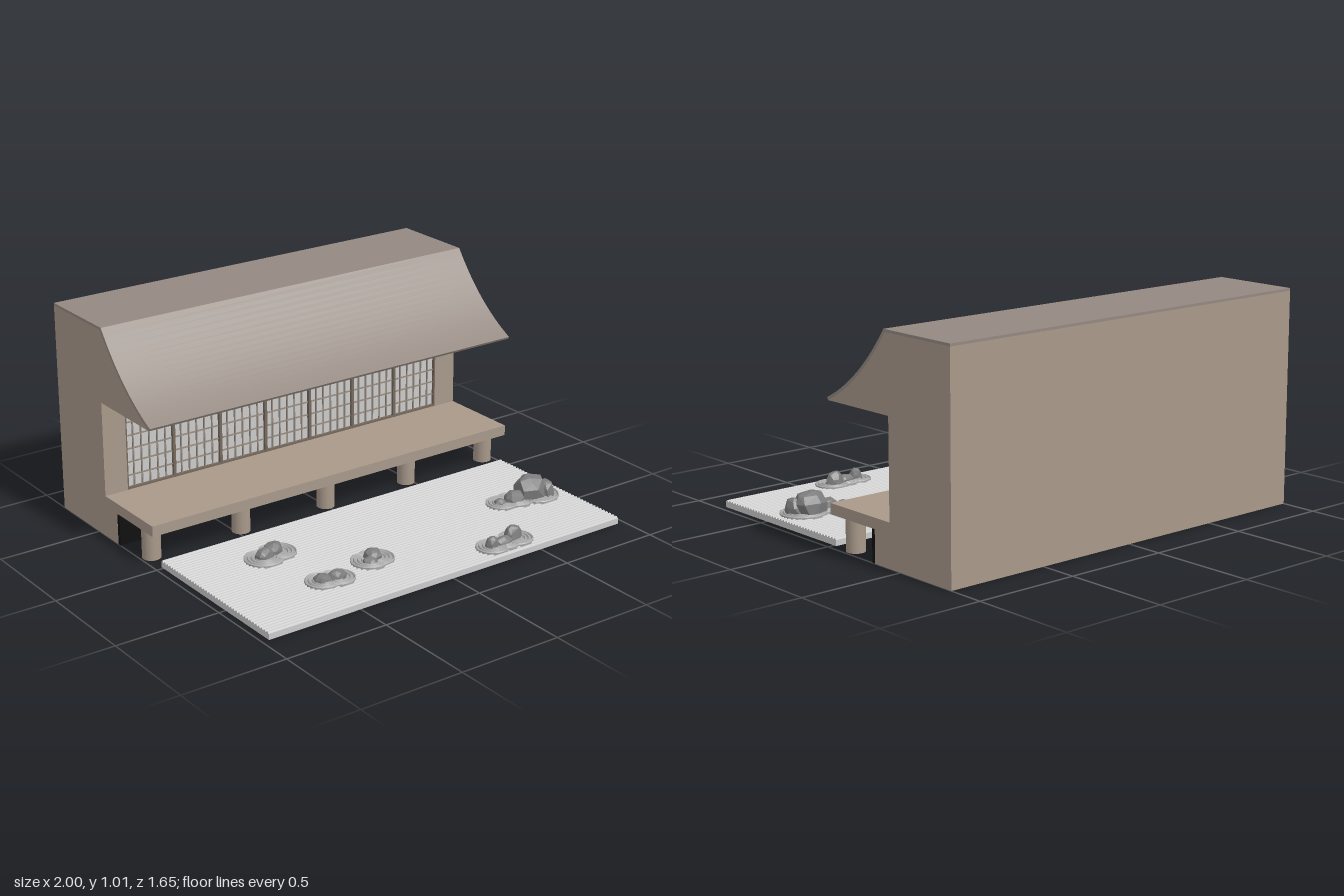
import * as THREE from 'three';
import { mergeGeometries, toCreasedNormals } from 'three/addons/utils/BufferGeometryUtils.js';
import { ConvexGeometry } from 'three/addons/geometries/ConvexGeometry.js';

const mat = (color, extra = {}) => {
  const m = new THREE.MeshStandardMaterial({ color });
  return Object.assign(m, extra);
};
const wood = mat(0xa8998a), roofMat = mat(0x948981), darkWood = mat(0x75695d);
const lattice = mat(0x978b7f), paper = mat(0xcccccc), shadow = mat(0x101010);
const sand = mat(0xcccccc), sandRings = mat(0xaaaaaa, { flatShading: true });
const stone = mat(0x7c7c7c, { flatShading: true });

// small seeded number generator
function seeded(seed) {
  return () => (seed = (seed * 16807) % 2147483647) / 2147483647;
}

function add(parent, name, geometry, material) {
  const mesh = new THREE.Mesh(geometry, material);
  mesh.name = name;
  parent.add(mesh);
  return mesh;
}

const box = (w, h, d, x, y, z) => new THREE.BoxGeometry(w, h, d).translate(x, y, z);

// extrudes a (z, y) side profile along x, centred
function alongX(points, length) {
  const shape = new THREE.Shape(points.map(([z, y]) => new THREE.Vector2(z, y)));
  const g = new THREE.ExtrudeGeometry(shape, { depth: length, bevelEnabled: false });
  return toCreasedNormals(g.translate(0, 0, -length / 2).rotateY(-Math.PI / 2), 0.4);
}

function buildHouse() {
  const house = new THREE.Group();
  house.name = 'house';

  // sweeping roof line from the eave up to the flat top
  const sweep = new THREE.QuadraticBezierCurve(
    new THREE.Vector2(-0.015, 0.66), new THREE.Vector2(-0.24, 0.77), new THREE.Vector2(-0.405, 1.007)
  ).getPoints(18).map(p => [p.x, p.y]);
  const under = sweep.map(([z, y]) => [z - 0.008, y - 0.012]);

  // body with eave, recessed front wall and deck in one section
  add(house, 'body', alongX([
    [-0.825, 0], [-0.33, 0], [-0.33, 0.15], [-0.025, 0.15], [-0.025, 0.2], [-0.45, 0.2],
    [-0.45, 0.65], ...under, [-0.825, 0.995]
  ], 2), wood);
  add(house, 'roof', alongX([...sweep, [-0.825, 1.007], [-0.825, 0.995], ...under.reverse()], 2), roofMat);

  for (const s of [-1, 1]) {
    add(house, 'endWall', box(0.117, 0.45, 0.02, s * 0.9415, 0.425, -0.44), wood);
  }
  add(house, 'underfloorPanel', box(1.999, 0.15, 0.02, 0, 0.075, -0.321), shadow);

  // deck posts
  for (let i = -2; i <= 2; i++) {
    add(house, 'deckPost', new THREE.CylinderGeometry(0.043, 0.043, 0.15, 24)
      .translate(i * 0.4735, 0.075, -0.13), wood);
  }

  // seven paper screens with lattice
  const n = 7, w = 1.766 / n;
  add(house, 'screenPaper', box(1.766, 0.45, 0.006, 0, 0.425, -0.448), paper);
  const frames = [], bars = [];
  for (let i = 0; i <= n; i++) frames.push(box(0.014, 0.45, 0.018, -0.883 + i * w, 0.425, -0.44));
  frames.push(box(1.766, 0.01, 0.016, 0, 0.205, -0.44), box(1.766, 0.012, 0.016, 0, 0.644, -0.44));
  for (let i = 0; i < n; i++) {
    for (let c = 1; c <= 5; c++) {
      bars.push(box(0.006, 0.44, 0.008, -0.883 + (i + c / 6) * w, 0.425, -0.442));
    }
  }
  for (let r = 1; r <= 6; r++) bars.push(box(1.766, 0.006, 0.006, 0, 0.2 + r * 0.45 / 7, -0.442));
  add(house, 'screenFrames', mergeGeometries(frames), darkWood);
  add(house, 'screenLattice', mergeGeometries(bars), lattice);
  return house;
}

// raked rings following the outline of two joined circles [x, z, radius]
function ringsGeometry(circles) {
  const cx = circles.reduce((s, c) => s + c[0], 0) / circles.length;
  const cz = circles.reduce((s, c) => s + c[1], 0) / circles.length;
  const reach = a => Math.max(...circles.map(([x, z, r]) => {
    const along = (x - cx) * Math.cos(a) + (z - cz) * Math.sin(a);
    const across2 = (x - cx) ** 2 + (z - cz) ** 2 - along ** 2;
    return across2 < r * r ? along + Math.sqrt(r * r - across2) : 0;
  }));
  const rows = [[0, 0.027], [0, 0.04]];
  for (let k = 0; k < 3; k++) {
    const d = k * 0.018;
    rows.push([d + 0.005, 0.043], [d + 0.01, 0.036], [d + 0.014, 0.036], [d + 0.018, 0.043]);
  }
  const seg = 64, pos = [cx, 0.037, cz], idx = [];
  rows.forEach(([inset, y], j) => {
    for (let i = 0; i < seg; i++) {
      const a = (i / seg) * Math.PI * 2, r = Math.max(reach(a) - inset, 0.01);
      pos.push(cx + Math.cos(a) * r, y, cz + Math.sin(a) * r);
      const p = 1 + j * seg + i, q = 1 + j * seg + (i + 1) % seg;
      if (j < rows.length - 1) idx.push(p, p + seg, q, q, p + seg, q + seg);
      else idx.push(p, 0, q);
    }
  });
  const g = new THREE.BufferGeometry();
  g.setAttribute('position', new THREE.Float32BufferAttribute(pos, 3));
  g.setIndex(idx);
  g.computeVertexNormals();
  return g;
}

// angular boulder: jittered rings wrapped in a hull
function rockGeometry([x, z, rx, rz, top, turn = 0], rnd) {
  const pts = [];
  for (const [level, spread] of [[0, 1], [0.55, 0.95], [0.85, 0.7], [1, 0.35]]) {
    for (let i = 0; i < 7; i++) {
      const a = ((i + rnd() * 0.7) / 7) * Math.PI * 2, k = spread * (0.85 + rnd() * 0.2);
      const h = level * (level ? 0.88 + rnd() * 0.12 : 1);
      pts.push(new THREE.Vector3(Math.cos(a) * rx * k, h * (top - 0.025), Math.sin(a) * rz * k));
    }
  }
  return new ConvexGeometry(pts).rotateY(turn).translate(x, 0.025, z);
}

function buildGarden() {
  const garden = new THREE.Group();
  garden.name = 'garden';

  // sand bed with straight raked ridges
  const section = [[0.825, 0], [0.825, 0.027]], count = 40, pitch = 0.84 / count;
  for (let i = 0; i < count; i++) {
    const z = 0.825 - i * pitch;
    section.push([z - pitch * 0.2, 0.027], [z - pitch * 0.4, 0.034],
      [z - pitch * 0.75, 0.034], [z - pitch * 0.95, 0.027]);
  }
  section.push([-0.015, 0.027], [-0.015, 0]);
  add(garden, 'sandBed', alongX(section.reverse(), 1.934), sand);

  // rings: circles [x, z, r]; rocks: [x, z, rx, rz, top, turn]
  const islands = [
    { rings: [[-0.595, 0.238, 0.09], [-0.51, 0.215, 0.088]],
      rocks: [[-0.585, 0.23, 0.055, 0.04, 0.08, 0.3], [-0.525, 0.205, 0.062, 0.045, 0.085, 0.4]] },
    { rings: [[-0.515, 0.57, 0.08], [-0.445, 0.58, 0.08]],
      rocks: [[-0.515, 0.57, 0.047, 0.042, 0.068], [-0.45, 0.58, 0.052, 0.036, 0.075]] },
    { rings: [[-0.235, 0.527, 0.085], [-0.195, 0.52, 0.085]],
      rocks: [[-0.205, 0.51, 0.055, 0.045, 0.08, 0.5], [-0.24, 0.54, 0.042, 0.035, 0.062]] },
    { rings: [[0.29, 0.735, 0.075], [0.36, 0.73, 0.072], [0.435, 0.725, 0.08]],
      rocks: [[0.29, 0.735, 0.038, 0.028, 0.088], [0.355, 0.73, 0.055, 0.032, 0.07],
        [0.425, 0.715, 0.05, 0.038, 0.1]] },
    { rings: [[0.63, 0.395, 0.075], [0.71, 0.4, 0.085], [0.83, 0.408, 0.108]],
      rocks: [[0.8, 0.4, 0.09, 0.075, 0.142, 0.2], [0.865, 0.43, 0.045, 0.055, 0.11],
        [0.7, 0.405, 0.065, 0.045, 0.085], [0.62, 0.395, 0.032, 0.03, 0.062]] }
  ];
  const rnd = seeded(4711);
  for (const { rings, rocks } of islands) {
    const island = new THREE.Group();
    island.name = 'rockIsland';
    add(island, 'rakedRings', ringsGeometry(rings), sandRings);
    for (const r of rocks) add(island, 'rock', rockGeometry(r, rnd), stone);
    garden.add(island);
  }
  return garden;
}

export function createModel() {
  const model = new THREE.Group();
  model.name = 'houseWithRockGarden';
  model.add(buildHouse(), buildGarden());
  return model;
}
